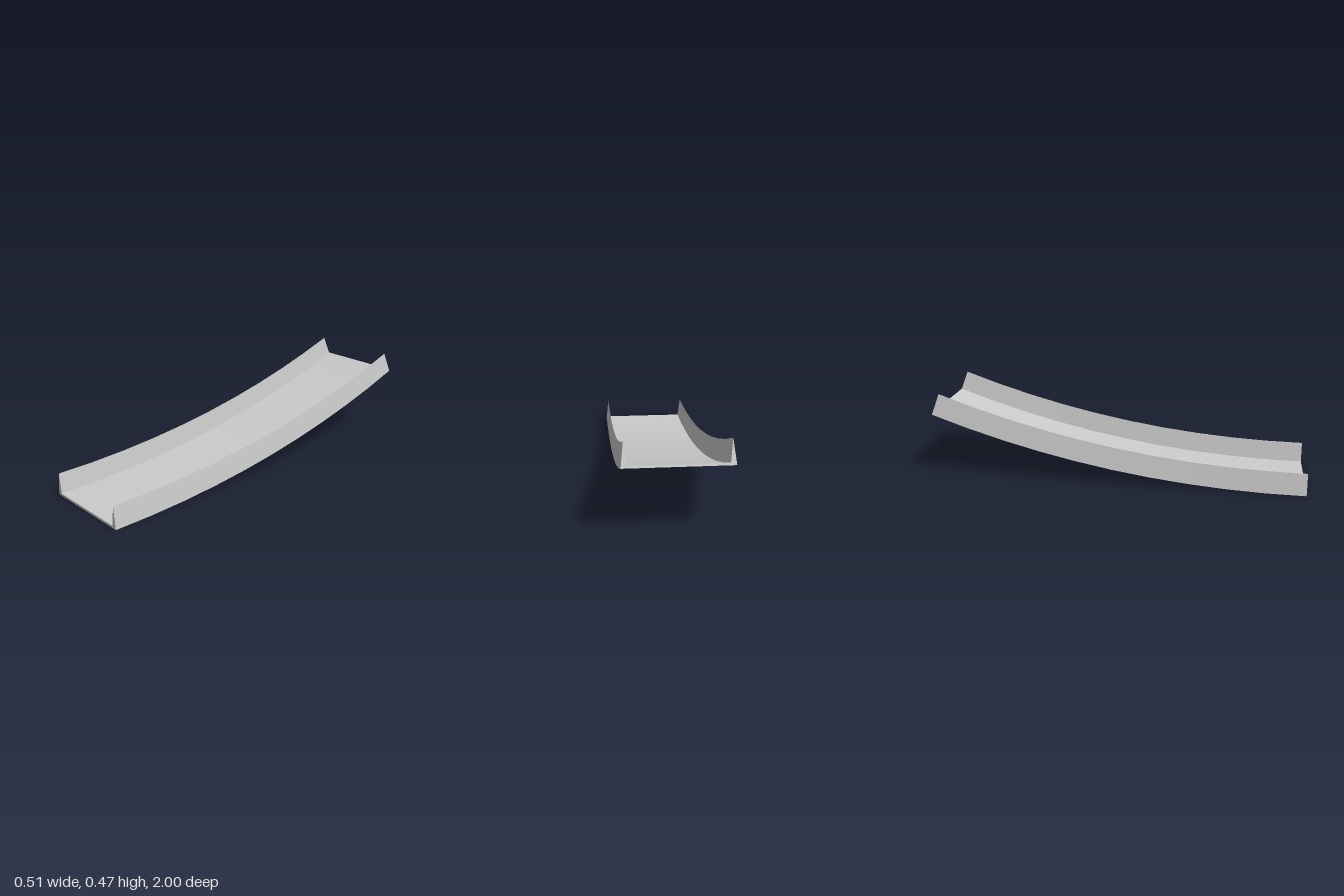
import * as THREE from 'three';

const SWEEP = 2 * Math.atan(0.355 / 2); // arc angle giving a rise of 0.355 over a run of 2
const RADIUS = 2 / Math.sin(SWEEP);

// Bends a straight extrusion (z from 0 to 1) upward toward the back
function bend(geometry) {
  const p = geometry.attributes.position;
  for (let i = 0; i < p.count; i++) {
    const a = SWEEP * (1 - p.getZ(i));
    const r = RADIUS - p.getY(i);
    p.setXYZ(i, p.getX(i), RADIUS - r * Math.cos(a), 1 - r * Math.sin(a));
  }
  geometry.computeVertexNormals();
  return geometry;
}

export function createModel() {
  const group = new THREE.Group();
  group.name = 'curvedRamp';

  // Channel section: thin floor with a tapered, sharp-topped wall on each side
  const half = [[0.255, 0], [0.242, 0.12], [0.228, 0.012]];
  const mirrored = half.map(([x, y]) => [-x, y]).reverse();
  const section = new THREE.Shape([...half, ...mirrored].map(([x, y]) => new THREE.Vector2(x, y)));

  const geometry = bend(new THREE.ExtrudeGeometry(section, { depth: 1, steps: 10, bevelEnabled: false }));
  const material = new THREE.MeshStandardMaterial({ color: 0xcccccc, flatShading: true });
  const channel = new THREE.Mesh(geometry, material);
  channel.name = 'rampChannel';
  group.add(channel);

  return group;
}
